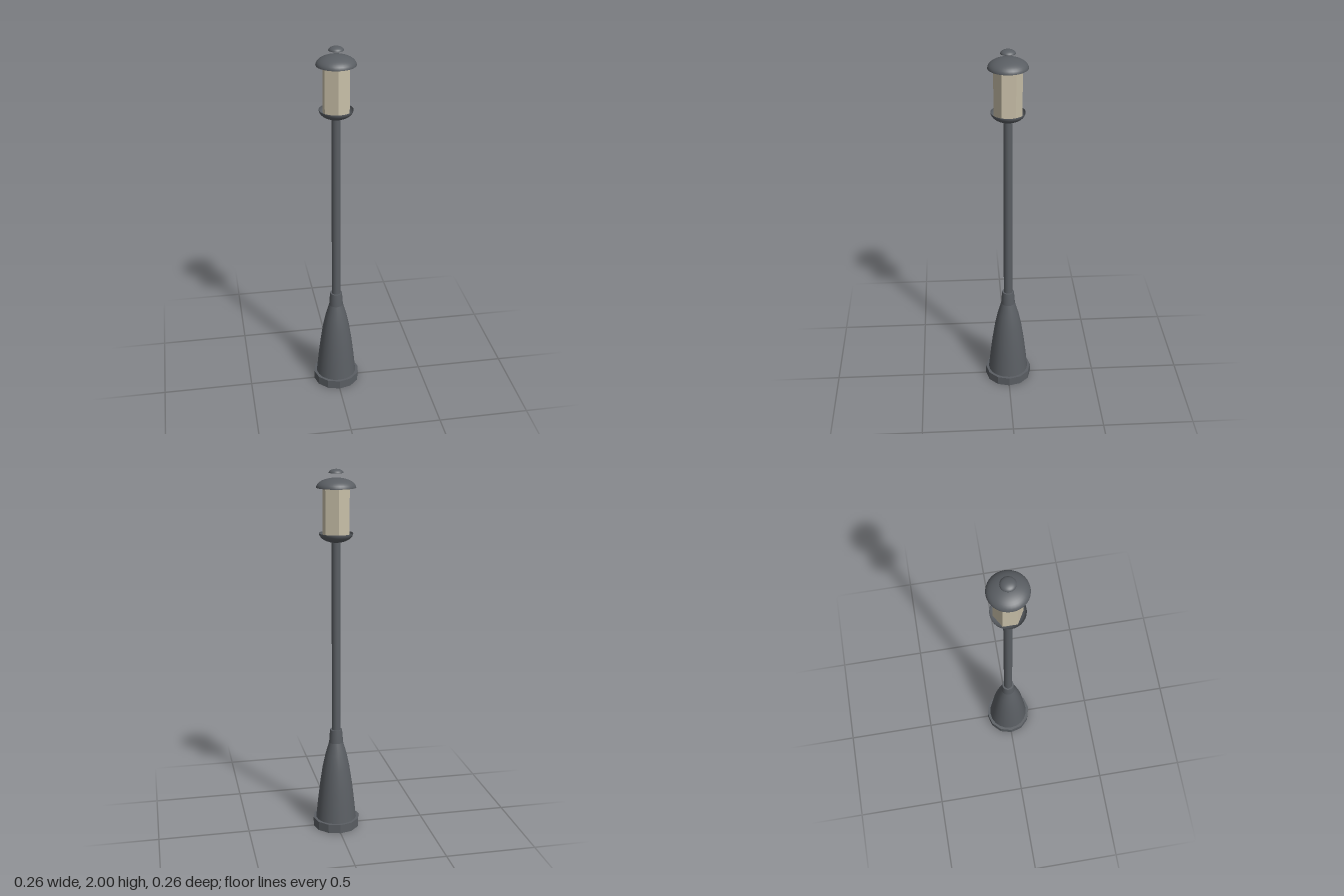
import * as THREE from 'three';

export function createModel() {
  const group = new THREE.Group();
  group.name = 'streetLamp';
  const metal = new THREE.MeshStandardMaterial({ color: 0x5a5e63, side: THREE.DoubleSide });
  const metalFlat = new THREE.MeshStandardMaterial({ color: 0x5a5e63, flatShading: true });
  const glass = new THREE.MeshStandardMaterial({ color: 0xc8bfa8, flatShading: true });

  const add = (name, geometry, material, y = 0) => {
    const mesh = new THREE.Mesh(geometry, material);
    mesh.name = name;
    mesh.position.y = y;
    group.add(mesh);
    return mesh;
  };
  const lathe = (pts, sides) =>
    new THREE.LatheGeometry(pts.map(([r, y]) => new THREE.Vector2(r, y)), sides);
  // Flattened half sphere, open underneath
  const dome = (r, h) =>
    new THREE.SphereGeometry(r, 32, 10, 0, Math.PI * 2, 0, Math.PI / 2).scale(1, h / r, 1);

  // Twelve-sided plinth
  add('plinth', new THREE.CylinderGeometry(0.13, 0.13, 0.05, 12), metalFlat, 0.025);

  // Flared foot, with a tapered collar around the pole
  add('foot', lathe([[0.113, 0.05], [0.103, 0.15], [0.091, 0.25], [0.076, 0.35],
    [0.059, 0.43], [0.039, 0.5]], 20), metal);
  add('collar', lathe([[0.039, 0.5], [0.037, 0.535], [0.033, 0.575]], 20), metal);
  add('collarTop', lathe([[0.033, 0.575], [0.02, 0.575]], 20), metal);

  add('pole', new THREE.CylinderGeometry(0.024, 0.024, 1.1, 16), metal, 1.08);

  // Bowl holding the lantern
  add('lanternBowl', dome(0.09, 0.05).rotateX(Math.PI), metal, 1.67);

  // Six-sided glass with corners facing front and back
  add('lanternGlass', new THREE.CylinderGeometry(0.074, 0.074, 0.26, 6), glass, 1.777);

  // Domed roof and the small cap above it
  add('lanternRoof', dome(0.104, 0.05), metal, 1.905);
  add('finial', dome(0.039, 0.02), metal, 1.98);

  return group;
}
